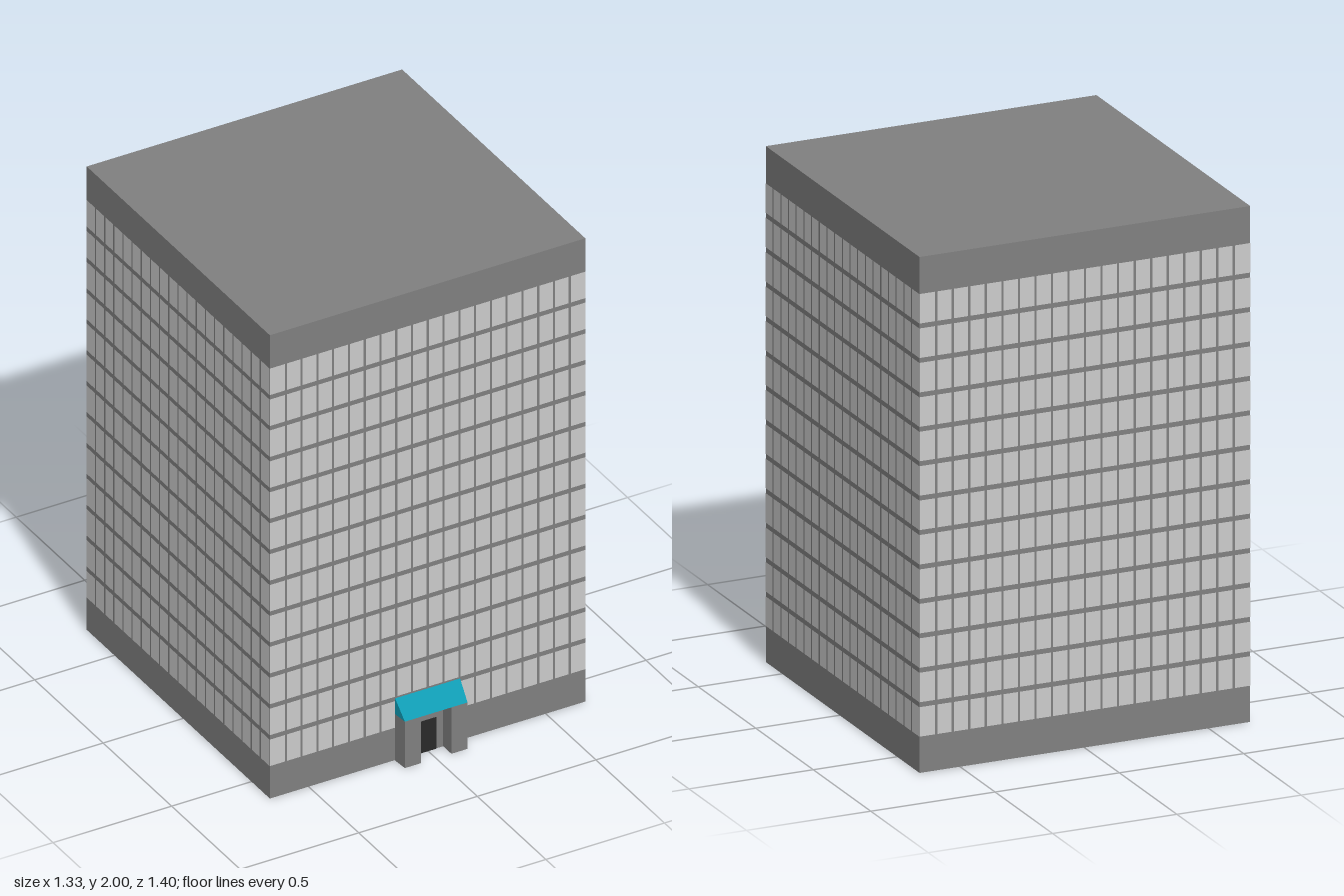
import * as THREE from 'three';
import { mergeGeometries } from 'three/addons/utils/BufferGeometryUtils.js';

const HALF_X = 0.665, BACK = -0.7, FRONT = 0.637, HEIGHT = 2;
const DEPTH = FRONT - BACK, MID_Z = (FRONT + BACK) / 2;
const STOREY = HEIGHT / 15, COLUMNS = 20, ROWS = 13;
const MULLION = 0.009, BAND = 0.019, GAP = 0.0015;

function addMesh(parent, name, geometry, color) {
  const mesh = new THREE.Mesh(geometry, new THREE.MeshStandardMaterial({ color }));
  mesh.name = name;
  parent.add(mesh);
  return mesh;
}

// Grid of panes on a wall of the given width, facing +z and centred on x = 0
function windowGrid(width) {
  const panes = [];
  const pitch = width / COLUMNS;
  for (let c = 0; c < COLUMNS; c++) {
    // Outermost panes run right to the corner of the building
    const x0 = -width / 2 + c * pitch + (c > 0 ? MULLION / 2 : 0);
    const x1 = -width / 2 + (c + 1) * pitch - (c < COLUMNS - 1 ? MULLION / 2 : 0);
    for (let r = 1; r <= ROWS; r++) {
      panes.push(new THREE.PlaneGeometry(x1 - x0, STOREY - BAND)
        .translate((x0 + x1) / 2, (r + 0.5) * STOREY, 0));
    }
  }
  return mergeGeometries(panes);
}

// Block whose sides close in slightly towards the front
function taperedPillar(outerBack, outerFront, inner, height, depth) {
  const shape = new THREE.Shape([
    new THREE.Vector2(inner, 0), new THREE.Vector2(inner, -depth),
    new THREE.Vector2(outerFront, -depth), new THREE.Vector2(outerBack, 0),
  ]);
  return new THREE.ExtrudeGeometry(shape, { depth: height, bevelEnabled: false }).rotateX(-Math.PI / 2);
}

export function createModel() {
  const group = new THREE.Group();
  const wall = 0x808080, teal = 0x0f9bb3;

  // Main block
  addMesh(group, 'tower', new THREE.BoxGeometry(2 * HALF_X, HEIGHT - 0.002, DEPTH), wall)
    .position.set(0, HEIGHT / 2 + 0.001, MID_Z);

  // Windows on all four walls
  const sides = ['frontWindows', 'leftWindows', 'backWindows', 'rightWindows'];
  sides.forEach((name, i) => {
    const facesX = i % 2 === 1;
    const width = facesX ? DEPTH : 2 * HALF_X;
    const offset = (facesX ? HALF_X : DEPTH / 2) + GAP;
    const geometry = windowGrid(width).translate(0, 0, offset).rotateY(i * Math.PI / 2);
    addMesh(group, name, geometry, 0xcccccc).position.z = MID_Z;
  });

  // Entrance porch
  const porch = new THREE.Group();
  porch.name = 'porch';
  porch.position.z = FRONT;
  group.add(porch);
  const reach = 0.063, eaves = 0.2, ridge = 0.268;

  addMesh(porch, 'leftPillar', taperedPillar(0.137, 0.132, 0.064, eaves, reach), wall);
  const rightPillar = addMesh(porch, 'rightPillar', taperedPillar(0.137, 0.132, 0.064, eaves, reach), wall);
  rightPillar.rotation.y = Math.PI;
  rightPillar.position.z = reach;
  // Swap the taper so that it too narrows towards the front
  const p = rightPillar.geometry.attributes.position;
  for (let i = 0; i < p.count; i++) {
    if (p.getX(i) > 0.1) p.setX(i, p.getZ(i) > reach / 2 ? 0.137 : 0.132);
  }
  rightPillar.geometry.computeVertexNormals();

  // Wall behind the porch, clear of the windows
  addMesh(porch, 'entranceWall', new THREE.BoxGeometry(0.128, eaves, 0.004), wall)
    .position.set(0, eaves / 2, 0.001);
  addMesh(porch, 'door', new THREE.BoxGeometry(0.068, 0.136, 0.006), 0x2a2a2a)
    .position.set(0, 0.068, 0.002);

  // Sloping canopy, a triangular prism with ends that narrow forwards
  const profile = new THREE.Shape([
    new THREE.Vector2(0, eaves), new THREE.Vector2(reach, eaves), new THREE.Vector2(0, ridge),
  ]);
  const canopy = new THREE.ExtrudeGeometry(profile, { depth: 0.274, bevelEnabled: false })
    .translate(0, 0, -0.137).rotateY(-Math.PI / 2);
  const v = canopy.attributes.position;
  for (let i = 0; i < v.count; i++) {
    if (v.getZ(i) > reach / 2) v.setX(i, Math.sign(v.getX(i)) * 0.132);
  }
  canopy.computeVertexNormals();
  addMesh(porch, 'canopy', canopy, teal);

  // Small disc set under the floor
  addMesh(group, 'floorDisc', new THREE.CylinderGeometry(0.04, 0.04, 0.002, 24), teal)
    .position.set(-0.24, 0.001, 0.14);

  return group;
}
